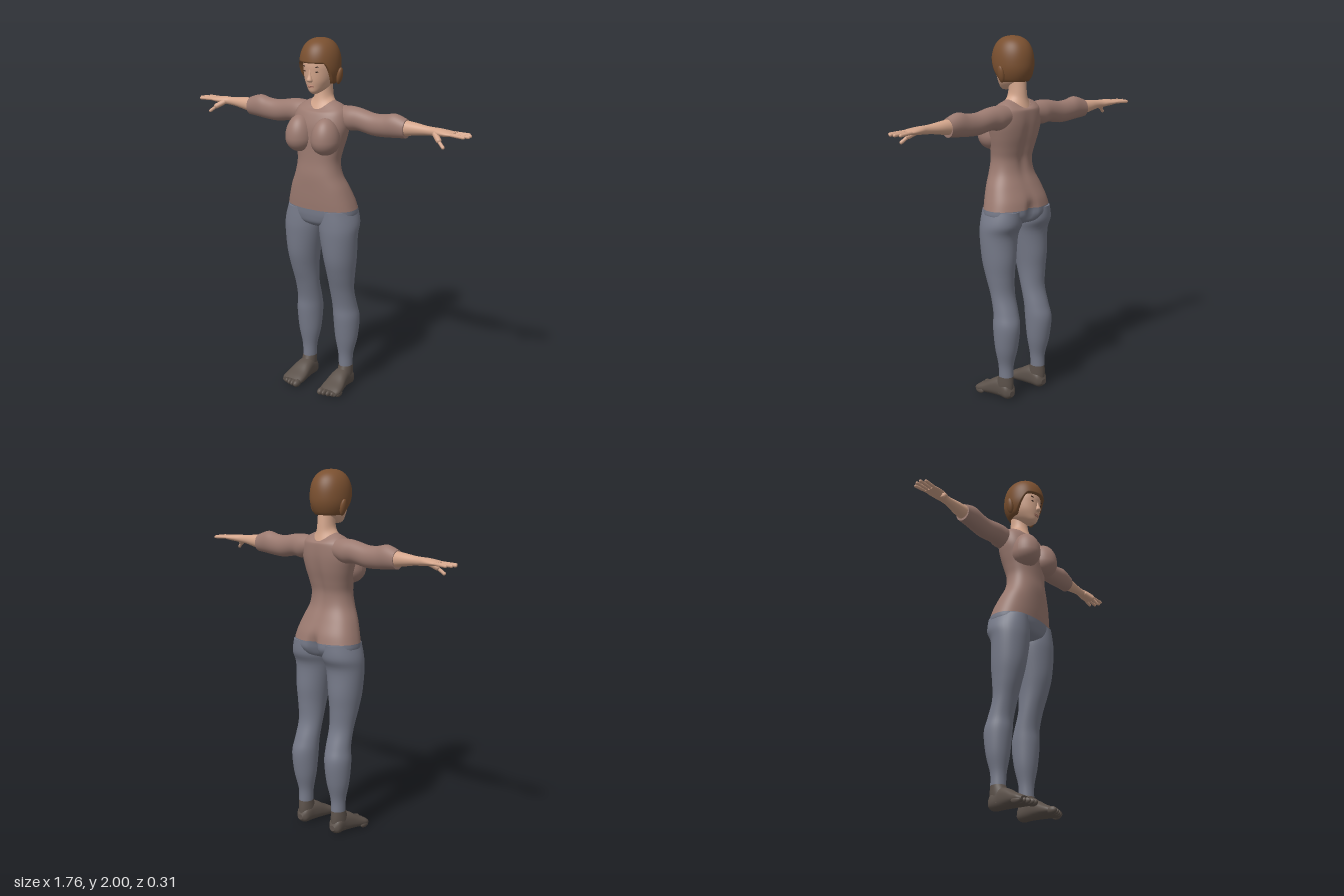
import * as THREE from 'three';

const paint = (name, hex, side = THREE.FrontSide) => {
  const m = new THREE.MeshStandardMaterial({ color: hex, side });
  m.name = name;
  return m;
};

// Places a cross-section: t runs along the part, u and w run across it
const upright = (t, u, w) => [u, t, w];
const sideways = (t, u, w) => [t, u, w];
const forward = (t, u, w) => [u, w, t];

// Smooth closed loft through stations [t, uMin, uMax, wMin, wMax, sag]
function loft(stations, place, { flip = 1, power = 2, segs = 36, steps = 5, deform } = {}) {
  const get = (i, k) => stations[Math.max(0, Math.min(stations.length - 1, i))][k] ?? 0;
  const spline = (i, f, k) => {
    const [a, b, c, d] = [get(i - 1, k), get(i, k), get(i + 1, k), get(i + 2, k)];
    return b + 0.5 * f * (c - a + f * (2 * a - 5 * b + 4 * c - d + f * (3 * (b - c) + d - a)));
  };
  const pos = [], idx = [];
  const add = (t, u, w) => {
    const p = place(t, u, w);
    if (deform) deform(p);
    pos.push(p[0] * flip, p[1], p[2]);
  };
  const rows = (stations.length - 1) * steps;
  const curve = v => Math.sign(v) * Math.abs(v) ** (2 / power);
  const ring = r => {
    const i = Math.min(Math.floor(r / steps), stations.length - 2), f = r / steps - i;
    const [t, u0, u1, w0, w1, sag] = [0, 1, 2, 3, 4, 5].map(k => spline(i, f, k));
    for (let s = 0; s < segs; s++) {
      const a = (s / segs) * Math.PI * 2, c = curve(Math.cos(a)), d = curve(Math.sin(a));
      add(t - sag * d * d, (u0 + u1) / 2 + (u1 - u0) / 2 * c, (w0 + w1) / 2 + (w1 - w0) / 2 * d);
    }
    return [t - sag / 2, (u0 + u1) / 2, (w0 + w1) / 2];
  };
  for (let r = 0; r <= rows; r++) ring(r);
  for (let r = 0; r < rows; r++) for (let s = 0; s < segs; s++) {
    const a = r * segs + s, b = r * segs + (s + 1) % segs;
    idx.push(a, b, a + segs, b, b + segs, a + segs);
  }
  for (const end of [0, rows]) {
    const base = pos.length / 3;
    add(...ring(end));
    for (let s = 0; s < segs; s++) {
      const a = base + s, b = base + (s + 1) % segs;
      idx.push(base + segs, ...(end ? [a, b] : [b, a]));
    }
  }
  // Turn the faces outward if the volume comes out negative
  let volume = 0;
  const [A, B, C] = [0, 0, 0].map(() => new THREE.Vector3());
  for (let i = 0; i < idx.length; i += 3) {
    A.fromArray(pos, idx[i] * 3); B.fromArray(pos, idx[i + 1] * 3); C.fromArray(pos, idx[i + 2] * 3);
    volume += A.dot(B.cross(C));
  }
  if (volume < 0) idx.reverse();
  const g = new THREE.BufferGeometry();
  g.setAttribute('position', new THREE.Float32BufferAttribute(pos, 3));
  g.setIndex(idx);
  g.computeVertexNormals();
  return g;
}

// Hair cap: the rim is high over the face and low around sides and back
function hairGeometry() {
  const segs = 72, rows = 24, pos = [], idx = [];
  for (let r = 0; r <= rows; r++) for (let s = 0; s < segs; s++) {
    const a = (s / segs) * Math.PI * 2, off = Math.abs(a > Math.PI ? a - 2 * Math.PI : a);
    const rim = 1.88 - 0.118 * THREE.MathUtils.smoothstep(off, 0.75, 1.6);
    const v = Math.max(0, r - 1) / (rows - 1);
    const y = rim + (2 - rim) * Math.sin(v * Math.PI / 2);
    let k = y > 1.85 ? Math.max(0, 1 - ((y - 1.85) / 0.15) ** 2.4) ** (1 / 2.4)
      : 1 - 0.25 * ((1.85 - y) / 0.09) ** 2;
    if (r === 0) k *= 0.6;
    pos.push(0.108 * k * Math.sin(a), y, 0.121 * k * Math.cos(a) + 0.001);
  }
  for (let r = 0; r < rows; r++) for (let s = 0; s < segs; s++) {
    const a = r * segs + s, b = r * segs + (s + 1) % segs;
    idx.push(a, b, a + segs, b, b + segs, a + segs);
  }
  const g = new THREE.BufferGeometry();
  g.setAttribute('position', new THREE.Float32BufferAttribute(pos, 3));
  g.setIndex(idx);
  g.computeVertexNormals();
  return g;
}

export function createModel() {
  const model = new THREE.Group();
  model.name = 'standingWoman';
  const skin = paint('skin', 0xd3a58b), top = paint('topCloth', 0x9b7a70);
  const trousers = paint('trouserCloth', 0x767a89), shoe = paint('footwear', 0x5b514a);
  const hair = paint('hairBrown', 0x7a5030, THREE.DoubleSide);
  const dark = paint('browDark', 0x4a3428), lip = paint('lipTone', 0xb57f6c);

  const add = (name, geo, mat) => {
    const m = new THREE.Mesh(geo, mat);
    m.name = name;
    model.add(m);
    return m;
  };
  const blob = (name, mat, p, r, tilt = 0) => {
    const m = add(name, new THREE.SphereGeometry(1, 24, 16), mat);
    m.position.set(...p);
    m.scale.set(...r);
    m.rotation.z = tilt;
    return m;
  };
  const finger = (name, mat, from, to, r) => {
    const a = new THREE.Vector3(...from), d = new THREE.Vector3(...to).sub(a);
    const m = add(name, new THREE.CapsuleGeometry(r, d.length() - r, 6, 12), mat);
    m.position.copy(a).addScaledVector(d, 0.5);
    m.quaternion.setFromUnitVectors(new THREE.Vector3(0, 1, 0), d.normalize());
  };

  // Cleft between the buttocks and a shallow groove along the spine
  const groove = p => {
    if (p[2] > -0.02) return;
    const mid = Math.exp(-((p[0] / 0.028) ** 2));
    p[2] += mid * (0.045 * Math.exp(-(((p[1] - 1.04) / 0.07) ** 2))
      + 0.012 * Math.exp(-(((p[1] - 1.4) / 0.15) ** 2)));
  };
  const wide = (y, h, back, front, sag = 0) => [y, -h, h, back, front, sag];

  // Torso and hips
  add('top', loft([
    wide(1.08, 0.207, -0.152, 0.1), wide(1.13, 0.193, -0.14, 0.104), wide(1.2, 0.168, -0.11, 0.107),
    wide(1.27, 0.136, -0.083, 0.108), wide(1.34, 0.123, -0.077, 0.102), wide(1.4, 0.132, -0.09, 0.1),
    wide(1.47, 0.15, -0.108, 0.1), wide(1.54, 0.163, -0.118, 0.095), wide(1.61, 0.152, -0.118, 0.072, 0.006),
    wide(1.648, 0.112, -0.112, 0.054, 0.028), wide(1.668, 0.065, -0.102, 0.045, 0.044),
  ], upright, { power: 2.3, segs: 72, deform: groove }), top);
  add('hips', loft([
    wide(0.975, 0.06, -0.06, 0.05), wide(1.0, 0.15, -0.12, 0.085),
    wide(1.04, 0.203, -0.15, 0.097), wide(1.08, 0.207, -0.152, 0.1),
  ], upright, { power: 2.3, segs: 72, deform: groove }), trousers);

  // Neck and head
  add('neck', loft([
    wide(1.668, 0.065, -0.102, 0.045, 0.044), wide(1.69, 0.05, -0.091, 0.026, 0.02),
    wide(1.725, 0.045, -0.086, 0.017), wide(1.79, 0.045, -0.08, 0.02),
  ], upright), skin);
  add('head', loft([
    wide(1.711, 0.016, 0.035, 0.072), wide(1.725, 0.035, -0.01, 0.085), wide(1.75, 0.056, -0.06, 0.091),
    wide(1.785, 0.073, -0.085, 0.097), wide(1.83, 0.082, -0.1, 0.1), wide(1.87, 0.084, -0.105, 0.101),
    wide(1.92, 0.075, -0.09, 0.09), wide(1.955, 0.045, -0.05, 0.05),
  ], upright, { power: 2.1 }), skin);
  add('nose', loft([
    wide(1.852, 0.008, 0.085, 0.1), wide(1.815, 0.009, 0.085, 0.107),
    wide(1.788, 0.016, 0.085, 0.117), wide(1.777, 0.012, 0.085, 0.104),
  ], upright, { segs: 16 }), skin);
  blob('upperLip', lip, [0, 1.756, 0.09], [0.021, 0.005, 0.007]);
  blob('lowerLip', lip, [0, 1.749, 0.089], [0.018, 0.005, 0.007]);
  add('hair', hairGeometry(), hair);

  for (const side of [1, -1]) {
    const tag = side > 0 ? 'left' : 'right';
    const opt = { flip: side };

    // Face details and ears
    blob(tag + 'Eye', dark, [side * 0.034, 1.833, 0.089], [0.014, 0.004, 0.005]);
    blob(tag + 'Brow', dark, [side * 0.036, 1.858, 0.09], [0.018, 0.003, 0.005], side * 0.12);
    blob(tag + 'Ear', hair, [side * 0.109, 1.805, -0.02], [0.014, 0.046, 0.021], -side * 0.2);

    // Bust, drawn out upward into the chest
    const bust = new THREE.SphereGeometry(1, 40, 28), bp = bust.attributes.position;
    for (let i = 0; i < bp.count; i++) if (bp.getY(i) > 0) bp.setY(i, bp.getY(i) * 1.5);
    bust.scale(0.077, 0.08, 0.085);
    bust.computeVertexNormals();
    add(tag + 'Bust', bust, top).position.set(side * 0.083, 1.47, 0.073);

    // Sleeve, forearm and hand
    add(tag + 'Sleeve', loft([
      [0.09, 1.535, 1.64, -0.1, 0], [0.16, 1.515, 1.646, -0.106, 0.012], [0.22, 1.52, 1.642, -0.1, 0.008],
      [0.31, 1.506, 1.625, -0.096, 0.005], [0.38, 1.507, 1.628, -0.093, 0.006],
      [0.44, 1.512, 1.639, -0.091, 0.005], [0.51, 1.518, 1.617, -0.088, 0],
    ], sideways, opt), top);
    add(tag + 'Forearm', loft([
      [0.49, 1.528, 1.614, -0.084, -0.006], [0.56, 1.54, 1.607, -0.079, -0.013], [0.62, 1.55, 1.6, -0.07, -0.02],
      [0.66, 1.553, 1.598, -0.069, -0.021], [0.7, 1.556, 1.597, -0.078, -0.01],
      [0.75, 1.561, 1.592, -0.086, -0.004], [0.79, 1.567, 1.586, -0.084, -0.012],
    ], sideways, opt), skin);
    [[-0.077, -0.089, 0.852], [-0.058, -0.064, 0.87], [-0.038, -0.037, 0.874], [-0.019, -0.013, 0.858]]
      .forEach(([z0, z1, x], i) => finger(`${tag}Finger${i + 1}`, skin,
        [side * 0.77, 1.577, z0], [side * x, 1.574, z1], 0.0085));
    finger(tag + 'ThumbBase', skin, [side * 0.685, 1.572, -0.025], [side * 0.73, 1.543, 0.008], 0.015);
    finger(tag + 'ThumbTip', skin, [side * 0.72, 1.548, 0.004], [side * 0.762, 1.514, 0.02], 0.009);

    // Leg
    add(tag + 'Leg', loft([
      [1.075, 0.02, 0.2, -0.146, 0.094], [1, 0.003, 0.222, -0.143, 0.098], [0.93, 0.01, 0.222, -0.113, 0.097],
      [0.8, 0.03, 0.213, -0.112, 0.084], [0.7, 0.043, 0.2, -0.105, 0.058], [0.6, 0.048, 0.188, -0.106, 0.026],
      [0.5, 0.05, 0.19, -0.135, 0.003], [0.42, 0.052, 0.199, -0.154, 0], [0.3, 0.062, 0.19, -0.14, -0.013],
      [0.2, 0.082, 0.168, -0.116, -0.029], [0.13, 0.087, 0.165, -0.115, -0.03],
    ], upright, opt), trousers);

    // Foot with toes
    add(tag + 'Ankle', loft([
      [0.13, 0.087, 0.165, -0.115, -0.03], [0.085, 0.085, 0.167, -0.119, -0.01], [0.03, 0.085, 0.165, -0.118, 0.01],
    ], upright, opt), shoe);
    add(tag + 'Foot', loft([
      [-0.123, 0.108, 0.145, 0.02, 0.05], [-0.1, 0.086, 0.166, 0.002, 0.09], [-0.05, 0.08, 0.168, 0.002, 0.115],
      [0, 0.072, 0.178, 0.002, 0.105], [0.05, 0.066, 0.19, 0.002, 0.075],
      [0.09, 0.066, 0.195, 0.002, 0.056], [0.115, 0.075, 0.185, 0.006, 0.042],
    ], forward, { flip: side, power: 2.4 }), shoe);
    for (let i = 0; i < 5; i++) blob(`${tag}Toe${i + 1}`, shoe,
      [side * (0.085 + i * 0.0245), 0.022 - i * 0.001, 0.116 - i * i * 0.0022],
      [i ? 0.0125 : 0.018, i ? 0.018 : 0.021, 0.03]);
  }
  return model;
}
